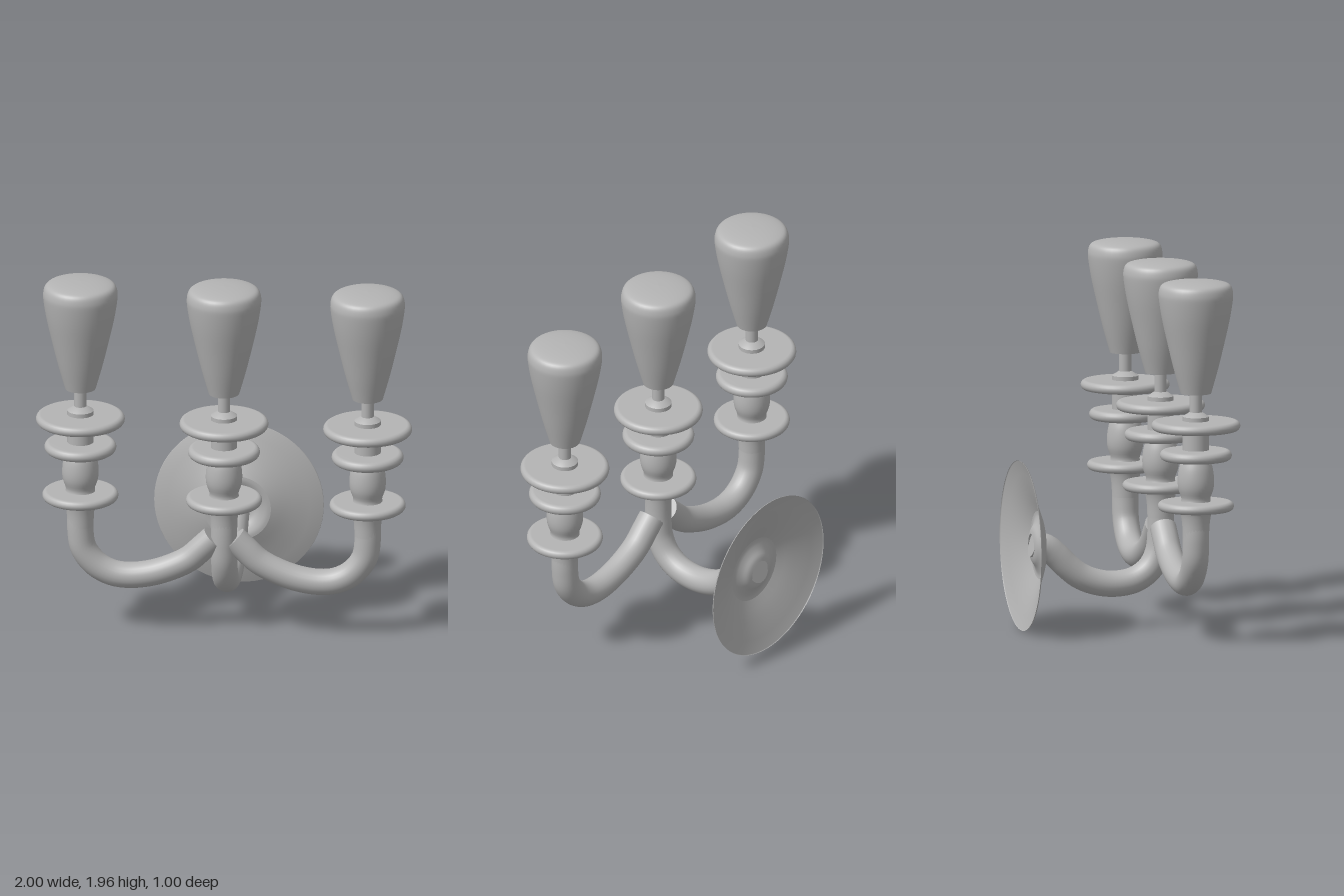
import * as THREE from 'three';

const metal = new THREE.MeshStandardMaterial({ color: 0xb4b4b4, side: THREE.DoubleSide });
metal.name = 'grey metal';

const COLUMN_X = 0.765, COLUMN_Z = 0.265, TUBE_R = 0.07;

function part(name, geometry, parent) {
  const mesh = new THREE.Mesh(geometry, metal);
  mesh.name = name;
  parent.add(mesh);
  return mesh;
}

// Turned part from [radius, height] pairs, listed bottom to top
function turned(pairs, smooth = 0, segments = 40) {
  let pts = pairs.map(([r, y]) => new THREE.Vector2(r, y));
  if (smooth) pts = new THREE.SplineCurve(pts).getPoints(smooth);
  pts.forEach((p) => { p.x = Math.max(p.x, 0); });
  return new THREE.LatheGeometry(pts, segments);
}

// Flat disc with a half-round rim
function disc(radius, y, half) {
  const pairs = [[0, y - half]];
  for (let i = 0; i <= 8; i++) {
    const a = -Math.PI / 2 + (i / 8) * Math.PI;
    pairs.push([radius - half + Math.cos(a) * half, y + Math.sin(a) * half]);
  }
  pairs.push([0, y + half]);
  return turned(pairs, 0, 48);
}

// One candle column, the same for all three arms
function makeCandle() {
  const g = new THREE.Group();
  part('collar', turned([[0.07, 0.58], [0.073, 0.65], [0.083, 0.71], [0.1, 0.74]], 10), g);
  part('lowerDisc', disc(0.202, 0.75, 0.025), g);
  part('bulb', turned([[0.085, 0.76], [0.077, 0.79], [0.093, 0.84], [0.097, 0.89], [0.09, 0.95], [0.075, 1.0], [0.073, 1.02]], 20), g);
  part('middleDisc', disc(0.191, 1.022, 0.028), g);
  part('neck', turned([[0.07, 1.03], [0.07, 1.17]]), g);
  part('upperDisc', disc(0.236, 1.18, 0.026), g);
  part('cup', turned([[0.07, 1.19], [0.07, 1.228]]), g);
  part('cupTop', turned([[0.07, 1.228], [0.033, 1.252], [0, 1.252]]), g);
  part('stem', new THREE.CylinderGeometry(0.033, 0.033, 0.13, 20).translate(0, 1.3, 0), g);
  // Shade: closed foot, flared wall and domed lid
  part('shadeFoot', turned([[0, 1.352], [0.081, 1.352]]), g);
  part('shade', turned([[0.081, 1.352], [0.117, 1.48], [0.151, 1.62], [0.18, 1.75], [0.196, 1.85],
    [0.197, 1.895], [0.184, 1.93], [0.15, 1.945], [0.08, 1.954], [0, 1.957]], 40), g);
  return g;
}

// Bent tube along [distance from column, height] pairs, with a cap at its far end
function makeArm(pairs) {
  const g = new THREE.Group();
  const curve = new THREE.CatmullRomCurve3(pairs.map(([d, y]) => new THREE.Vector3(d, y, 0)));
  part('armTube', new THREE.TubeGeometry(curve, 48, TUBE_R, 24), g);
  const cap = part('armEnd', new THREE.CircleGeometry(TUBE_R, 24), g);
  cap.position.copy(curve.getPointAt(1));
  cap.quaternion.setFromUnitVectors(new THREE.Vector3(0, 0, 1), curve.getTangentAt(1));
  return g;
}

export function createModel() {
  const model = new THREE.Group();
  model.name = 'wallSconce';

  // Three candles in a row
  ['rightCandle', 'centreCandle', 'leftCandle'].forEach((name, i) => {
    const candle = makeCandle();
    candle.name = name;
    candle.position.set((i - 1) * COLUMN_X, 0, COLUMN_Z);
    model.add(candle);
  });

  // Side arms sweep in to the centre column
  const sidePath = [[0, 0.72], [0, 0.55], [0.017, 0.45], [0.08, 0.365], [0.16, 0.319], [0.25, 0.305],
    [0.37, 0.32], [0.48, 0.357], [0.58, 0.41], [0.65, 0.475], [0.71, 0.533]];
  for (const s of [-1, 1]) {
    const arm = makeArm(sidePath);
    arm.name = s > 0 ? 'leftArm' : 'rightArm';
    arm.position.set(s * COLUMN_X, 0, COLUMN_Z);
    if (s > 0) arm.rotation.y = Math.PI;
    model.add(arm);
  }

  // Centre arm runs back to the wall plate
  const centreArm = makeArm([[0, 0.72], [0, 0.5], [0.014, 0.39], [0.06, 0.305], [0.14, 0.25], [0.25, 0.231],
    [0.35, 0.244], [0.44, 0.28], [0.51, 0.335], [0.57, 0.395], [0.625, 0.44], [0.7, 0.46]]);
  centreArm.name = 'centreArm';
  centreArm.position.z = COLUMN_Z;
  centreArm.rotation.y = Math.PI / 2;
  model.add(centreArm);

  // Wall plate: thin flared dish, dimpled around the arm
  const plate = new THREE.Group();
  plate.name = 'wallPlate';
  part('plateFlare', turned([[0.452, -0.5], [0.45, -0.494], [0.38, -0.474], [0.29, -0.446], [0.23, -0.422], [0.18, -0.402]], 0, 64), plate);
  part('plateDimple', turned([[0.18, -0.402], [0.155, -0.402], [0.12, -0.415], [0.09, -0.434], [0.062, -0.442]], 12, 64), plate);
  plate.rotation.x = Math.PI / 2;
  plate.position.y = 0.453;
  model.add(plate);

  return model;
}
